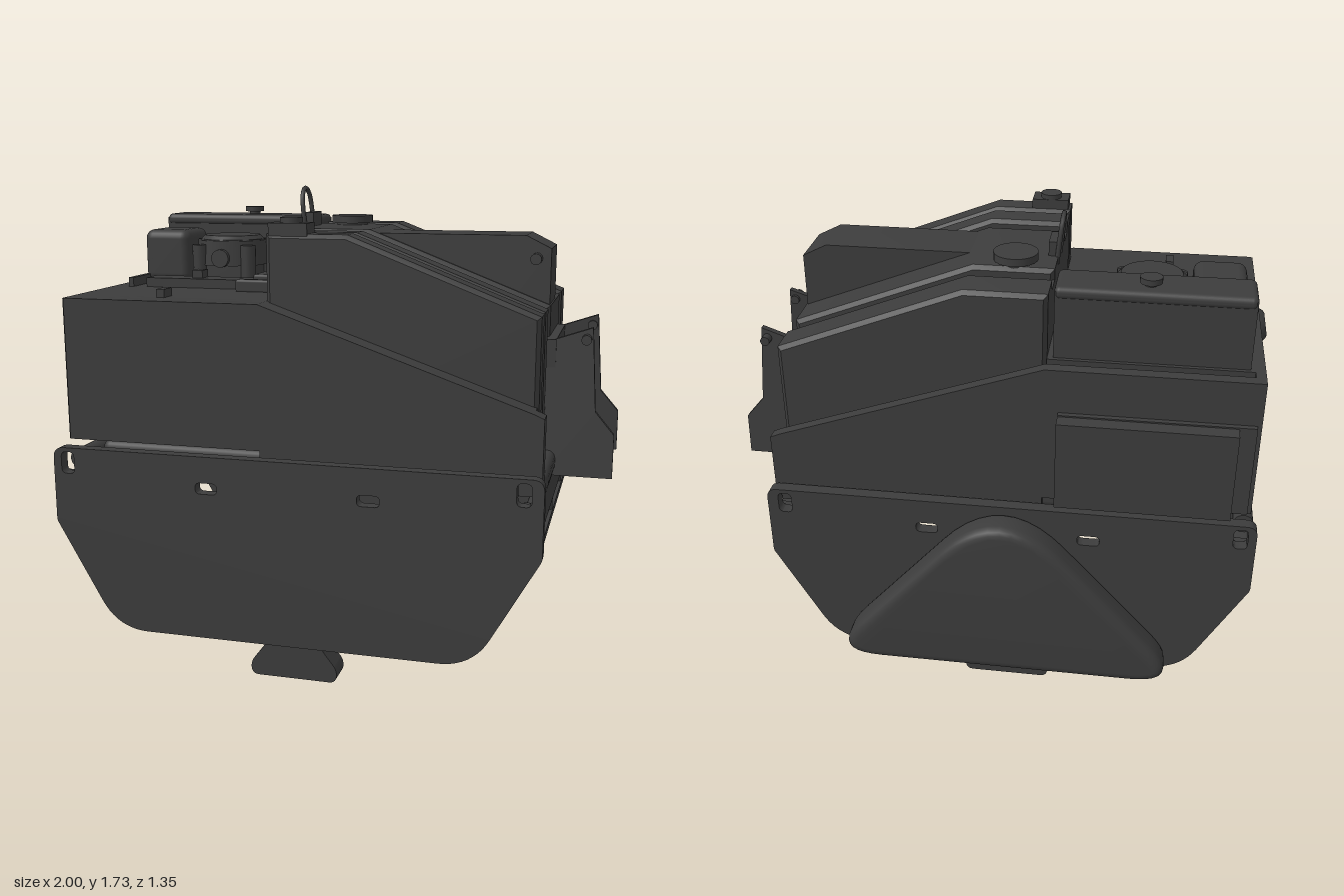
import * as THREE from 'three';
import { toCreasedNormals } from 'three/addons/utils/BufferGeometryUtils.js';
import { RoundedBoxGeometry } from 'three/addons/geometries/RoundedBoxGeometry.js';

const material = new THREE.MeshStandardMaterial({ color: 0x3c3c3c });

export function createModel() {
  const model = new THREE.Group();

  const add = (name, geometry, x = 0, y = 0, z = 0) => {
    const mesh = new THREE.Mesh(geometry, material);
    mesh.name = name;
    mesh.position.set(x, y, z);
    model.add(mesh);
    return mesh;
  };
  // Box given by its limits, with optional rounding
  const box = (name, x0, x1, y0, y1, z0, z1, r = 0) => {
    const size = [x1 - x0, y1 - y0, z1 - z0];
    const g = r ? new RoundedBoxGeometry(...size, 3, r) : new THREE.BoxGeometry(...size);
    return add(name, g, (x0 + x1) / 2, (y0 + y1) / 2, (z0 + z1) / 2);
  };
  const cyl = (name, r0, r1, h, x, y, z, axis = 'y', sides = 28) => {
    const g = new THREE.CylinderGeometry(r0, r1, h, sides);
    if (axis === 'z') g.rotateX(Math.PI / 2);
    return add(name, g, x, y, z);
  };
  // Side outline in x and y, extruded from z0 to z1
  const slab = (name, outline, z0, z1, bevel = 0, bevelSegments = 1) => {
    const shape = Array.isArray(outline)
      ? new THREE.Shape(outline.map(([x, y]) => new THREE.Vector2(x, y))) : outline;
    const g = new THREE.ExtrudeGeometry(shape, {
      depth: z1 - z0 - 2 * bevel, bevelEnabled: bevel > 0, bevelSize: bevel,
      bevelThickness: bevel, bevelOffset: -bevel, bevelSegments, curveSegments: 10,
    });
    g.translate(0, 0, z0 + bevel);
    return add(name, toCreasedNormals(g, 0.5));
  };
  // Closed outline with rounded corners, points [x, y, radius]
  const rounded = (points, Type = THREE.Shape) => {
    const p = points.map(([x, y]) => new THREE.Vector2(x, y));
    const s = new Type();
    points.forEach(([x, y, r], i) => {
      const toward = (q) => p[i].clone().add(q.clone().sub(p[i]).setLength(r));
      const a = toward(p[(i + p.length - 1) % p.length]);
      const b = toward(p[(i + 1) % p.length]);
      if (i) s.lineTo(a.x, a.y); else s.moveTo(a.x, a.y);
      s.quadraticCurveTo(x, y, b.x, b.y);
    });
    s.closePath();
    return s;
  };
  const slot = (x, y, w, h, r) => rounded([
    [x - w / 2, y - h / 2, r], [x - w / 2, y + h / 2, r],
    [x + w / 2, y + h / 2, r], [x + w / 2, y - h / 2, r]], THREE.Path);

  // Two frame side plates with lifting slots, and the feet inside them
  const plate = rounded([
    [-0.96, 0.815, 0.04], [-0.96, 0.54, 0.01], [-0.735, 0.14, 0.12],
    [0.575, 0.14, 0.12], [0.8, 0.54, 0.01], [0.8, 0.815, 0.04]]);
  plate.holes.push(slot(-0.905, 0.76, 0.05, 0.08, 0.02), slot(0.735, 0.76, 0.05, 0.08, 0.02),
    slot(-0.375, 0.7, 0.08, 0.04, 0.018), slot(0.21, 0.7, 0.08, 0.04, 0.018));
  const foot = rounded([
    [-0.18, 0.165, 0.005], [-0.18, 0.12, 0.02], [-0.235, 0.05, 0.02], [-0.235, 0, 0.03],
    [0.085, 0, 0.03], [0.085, 0.05, 0.02], [0.03, 0.12, 0.02], [0.03, 0.165, 0.005]]);
  slab('frontSidePlate', plate, 0.63, 0.675);
  slab('backSidePlate', plate, -0.56, -0.515);
  slab('frontFoot', foot, 0.535, 0.63);
  slab('backFoot', foot, -0.515, -0.415);

  // Drive cover bulging from the back plate
  slab('driveCover', rounded([
    [-0.07, 0.915, 0.33], [-0.765, 0.155, 0.22], [0.6, 0.155, 0.22]]), -0.675, -0.55, 0.035, 4);

  // Cross beams with end flanges, scraper bars and lugs at both ends
  for (const x of [-0.915, 0.757]) {
    box('crossBeam', x - 0.025, x + 0.025, 0.58, 0.71, -0.515, 0.63, 0.01);
    for (const z of [0.615, -0.5])
      box('beamFlange', x - 0.03, x + 0.03, 0.57, 0.715, z - 0.015, z + 0.015);
    box('scraperBar', x - 0.03, x + 0.025, 0.515, 0.54, -0.515, 0.63);
    for (const z of [0.48, 0.08, -0.32]) cyl('scraperLug', 0.023, 0.023, 0.06, x, 0.56, z);
  }
  cyl('endTube', 0.036, 0.036, 1.0, -0.919, 0.745, 0.06, 'z');

  // Tray and engine-side body
  box('tray', -0.84, 0.797, 0.73, 0.815, -0.42, 0.54, 0.03);
  box('engineBody', -0.92, -0.2, 0.83, 1.345, -0.42, 0.595);
  box('endPanel', -0.935, -0.9, 0.83, 1.345, -0.5, 0.595);
  box('hoodBase', -0.2, 0.74, 0.81, 1.0, -0.42, 0.5);

  // Sloping side panels
  const panel = [[-0.93, 0.83], [-0.2, 0.83], [-0.2, 0.735], [0.785, 0.735], [0.785, 1.0],
    [0.75, 1.015], [-0.2, 1.345], [-0.93, 1.345]];
  slab('frontSidePanel', panel, 0.53, 0.6);
  slab('frontInnerPanel', panel.map(([x, y]) => [Math.min(x, 0.75), y]), 0.49, 0.535);
  slab('backSidePanel', panel, -0.5, -0.455);
  box('backHatch', -0.86, -0.25, 0.845, 1.18, -0.575, -0.5);
  box('backHatchFrame', -0.92, -0.25, 0.84, 1.185, -0.52, -0.49);

  // Ribbed hood: strips of the same profile, the grooves set in
  const strips = [[-0.42, -0.27, 0], [-0.29, -0.18, 0.04], [-0.2, 0.19, 0], [0.17, 0.29, 0.04],
    [0.26, 0.38, 0], [0.375, 0.4, 0.24], [0.395, 0.505, 0]];
  for (const [z0, z1, inset] of strips) {
    const end = 0.755 - Math.min(inset, 0.05);
    slab(inset ? 'hoodGroove' : 'hoodRib', [[-0.2, 0.82], [end, 0.82], [end, 1.32 - inset],
      [0.09, 1.578 - inset], [-0.2, 1.578 - inset]], z0, z1, inset ? 0 : 0.015);
  }

  // Raised housing on the hood slope
  slab('hoodHousing', [[0.6, 1.31], [0.75, 1.31], [0.75, 1.52], [0.66, 1.565], [0.1, 1.565],
    [0.1, 1.5]], -0.05, 0.165);
  cyl('housingLatch', 0.02, 0.02, 0.06, 0.7, 1.485, 0.18, 'z', 16);

  // Filler caps on the hood
  cyl('largeCap', 0.08, 0.08, 0.028, -0.055, 1.6, -0.13);
  cyl('largeCapNeck', 0.06, 0.06, 0.03, -0.055, 1.575, -0.13);
  box('fillerBase', -0.19, -0.05, 1.57, 1.615, 0.41, 0.5);
  cyl('fillerCap', 0.04, 0.04, 0.03, -0.12, 1.618, 0.45);

  // Lifting loop
  const loopPoints = [[0.04, 1.55], [0.04, 1.66], [0.025, 1.7], [-0.015, 1.72], [-0.055, 1.7],
    [-0.07, 1.66], [-0.07, 1.55]].map(([z, y]) => new THREE.Vector3(-0.2 - (y - 1.6) * 0.1, y, z));
  add('liftingLoop', new THREE.TubeGeometry(new THREE.CatmullRomCurve3(loopPoints), 32, 0.009, 8));
  box('loopBracket', -0.2, -0.165, 1.55, 1.63, -0.07, 0.035);

  // Air box with rounded lid and cap
  box('airBox', -0.885, -0.22, 1.33, 1.59, -0.405, -0.24);
  box('airBoxLid', -0.887, -0.218, 1.56, 1.605, -0.41, -0.235, 0.02);
  cyl('airBoxCap', 0.038, 0.038, 0.02, -0.535, 1.625, -0.34);
  cyl('airBoxNeck', 0.022, 0.022, 0.03, -0.535, 1.605, -0.34);

  // Engine: block, head with bolts, muffler and side covers
  box('engineBlock', -0.64, -0.43, 1.33, 1.46, -0.18, 0.04, 0.02);
  cyl('engineHead', 0.135, 0.145, 0.1, -0.535, 1.47, -0.07, 'y', 8).rotation.y = Math.PI / 8;
  cyl('engineCrown', 0.11, 0.13, 0.02, -0.535, 1.525, -0.07);
  for (const x of [-0.635, -0.435]) for (const z of [-0.17, 0.03])
    cyl('headBolt', 0.03, 0.03, 0.17, x, 1.415, z, 'y', 10);
  cyl('engineGauge', 0.035, 0.035, 0.03, -0.535, 1.45, 0.065, 'z', 20);
  box('muffler', -0.87, -0.68, 1.35, 1.555, -0.18, 0.04, 0.035);
  box('sideCover', -0.375, -0.225, 1.33, 1.4, -0.2, 0.15, 0.01);
  box('engineLedge', -0.8, -0.38, 1.33, 1.38, 0.08, 0.18);
  box('engineLedgeBlock', -0.62, -0.58, 1.36, 1.41, 0.09, 0.15);
  box('bayLip', -0.87, -0.85, 1.33, 1.38, -0.24, 0.19);

  // Deck fittings
  box('deckHandle', -0.41, -0.255, 1.34, 1.39, 0.21, 0.25, 0.01);
  box('deckTab', -0.615, -0.585, 1.34, 1.375, 0.43, 0.5);

  // Exhaust outlet on the end panel, tipped slightly down
  const outlet = new THREE.LatheGeometry([[0, -0.03], [0.07, -0.03], [0.07, 0.025], [0.055, 0.045],
    [0.045, 0.05], [0.04, 0.02], [0, 0.02]].map(([r, y]) => new THREE.Vector2(r, y)), 28);
  add('exhaustOutlet', toCreasedNormals(outlet, 0.5), -0.945, 1.155, 0.35).rotation.z = Math.PI / 2 - 0.2;

  // Bracket at the far end: back panel and two leaning rails
  const centre = 0.05;
  box('bracketPanel', 0.74, 0.785, 0.73, 1.21, -0.15, 0.25);
  for (const side of [-1, 1]) {
    const rail = slab('bracketRail', [[0.75, 0.725], [0.998, 0.725], [0.998, 0.88], [0.93, 0.96],
      [0.91, 1.255], [0.75, 1.2]], -0.012, 0.012);
    const p = rail.geometry.attributes.position;
    // Lean each rail inward with height
    for (let i = 0; i < p.count; i++)
      p.setZ(i, p.getZ(i) + centre + side * (0.215 - (p.getY(i) - 0.725) * 0.07));
    rail.geometry = toCreasedNormals(rail.geometry, 0.5);
    cyl('railPin', 0.018, 0.018, 0.07, 0.89, 1.215, centre + side * 0.19, 'z', 12);
  }

  return model;
}
